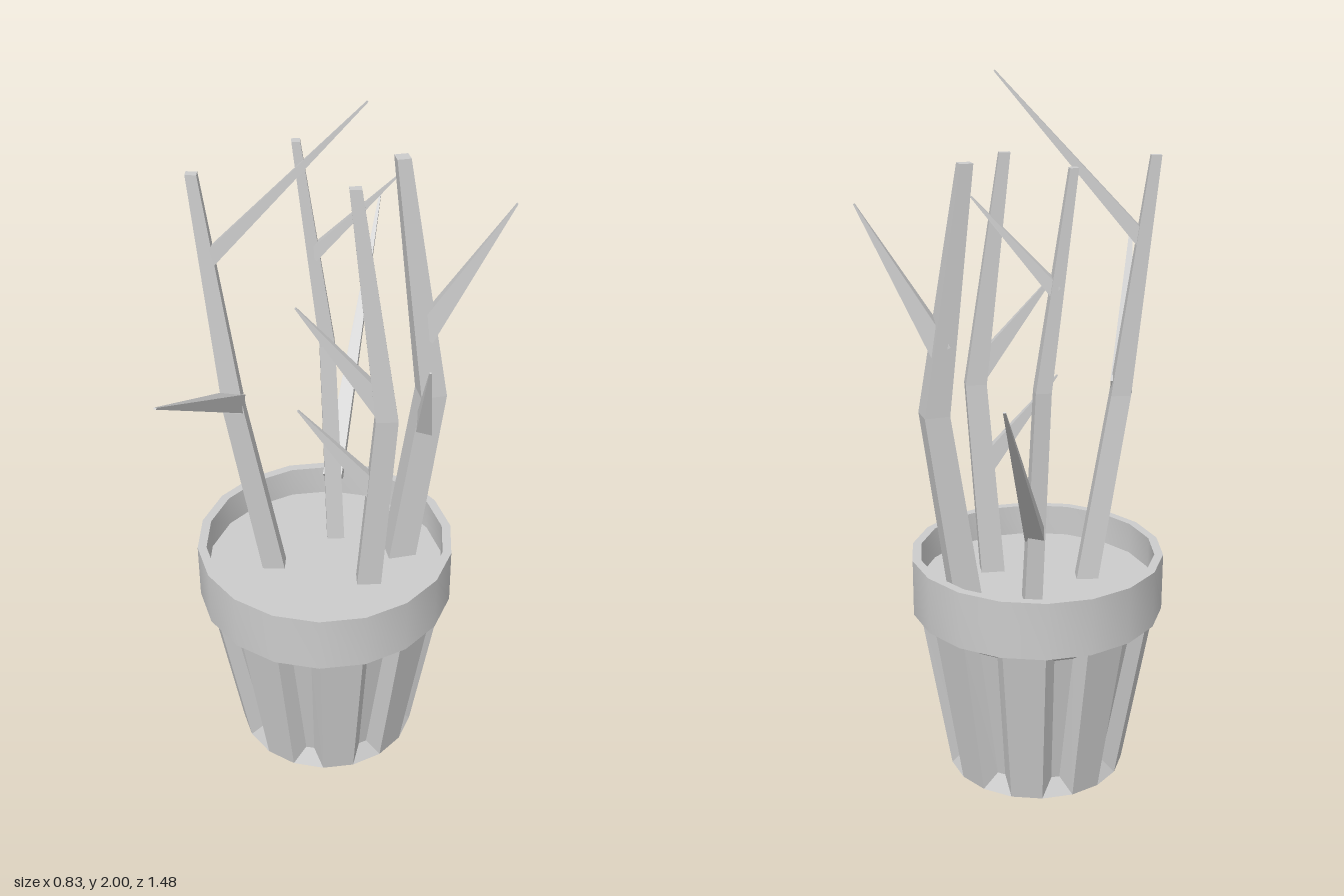
import * as THREE from 'three';
import { toCreasedNormals } from 'three/addons/utils/BufferGeometryUtils.js';

const flat = new THREE.MeshStandardMaterial({ color: 0xcccccc, flatShading: true });
const smooth = new THREE.MeshStandardMaterial({ color: 0xcccccc });
const V = (x, y, z) => new THREE.Vector3(x, y, z);
const rad = THREE.MathUtils.degToRad;
const SOIL = 0.575, ROOT = 0.56, TOP = 1.787;

// Flat-shaded mesh from a list of four-cornered faces (counter-clockwise)
function quadMesh(name, quads) {
  const pts = quads.flatMap(([a, b, c, d]) => [a, b, c, a, c, d]);
  const geo = new THREE.BufferGeometry().setFromPoints(pts);
  geo.computeVertexNormals();
  const mesh = new THREE.Mesh(geo, flat);
  mesh.name = name;
  return mesh;
}

// Side faces between two rings of four corners
const band = (lower, upper) => lower.map((p, i) => {
  const j = (i + 1) % 4;
  return [p, lower[j], upper[j], upper[i]];
});

// Faces joining a stack of four-point rings, with both ends capped
function skin(rings) {
  const sides = rings.slice(1).flatMap((upper, k) => band(rings[k], upper));
  return [...sides, rings[rings.length - 1], [...rings[0]].reverse()];
}

// Four corners around a centre; u, v and the growth direction are right-handed
const ring = (c, u, v, w, d) => [[1, 1], [-1, 1], [-1, -1], [1, -1]].map(([a, b]) =>
  c.clone().addScaledVector(u, a * w / 2).addScaledVector(v, b * d / 2));

// Stem bent once at its elbow, thinning towards a cut top
function stem({ turn, path, width, depth }) {
  const t = rad(turn);
  const u = V(Math.cos(t), 0, -Math.sin(t));
  const v = V(-Math.sin(t), 0, -Math.cos(t));
  return quadMesh('stem', skin(path.map((p) => {
    const thin = 1 - 0.55 * ((p.y - ROOT) / (TOP - ROOT)) ** 2;
    return ring(p, u, v, width * thin, depth * thin);
  })));
}

// Point on a stem's centre line at a given height
function pointAt([root, elbow, top], y) {
  const [a, b] = y < elbow.y ? [root, elbow] : [elbow, top];
  return a.clone().lerp(b, (y - a.y) / (b.y - a.y));
}

// Side twig growing from its stem and tapering to a sharp tip
function twig(from, tip, w, d) {
  const dir = tip.clone().sub(from).normalize();
  const u = V(0, 1, 0).cross(dir).normalize();
  const v = dir.clone().cross(u);
  return quadMesh('twig', skin([ring(from, u, v, w, d), ring(tip, u, v, 0.006, 0.004)]));
}

function plant(name, spec, twigs) {
  const group = new THREE.Group();
  group.name = name;
  group.add(stem(spec));
  for (const [y, tip, w, d] of twigs) group.add(twig(pointAt(spec.path, y), tip, w, d));
  return group;
}

// Tapered pot wall whose every second panel is sunk into a groove
function potBody() {
  const at = (r, y, deg) => V(r * Math.cos(rad(deg)), y, r * Math.sin(rad(deg)));
  const panel = (deg, hb, ht, rb, rt, yb, yt) =>
    [at(rb, yb, deg + hb), at(rb, yb, deg - hb), at(rt, yt, deg - ht), at(rt, yt, deg + ht)];
  const quads = [];
  for (let k = 0; k < 18; k++) {
    const deg = 10 + k * 20;
    const outer = panel(deg, 10, 10, 0.257, 0.342, 0, 0.5);
    if (k % 2) {
      quads.push(outer);
    } else {
      const inner = panel(deg, 3, 5, 0.228, 0.302, 0.05, 0.465);
      quads.push(inner, ...band(outer, inner));
    }
  }
  return quadMesh('potBody', quads);
}

// Eighteen-sided turned part with smooth sides and sharp rims
function turned(name, profile) {
  const points = profile.map(([r, y]) => new THREE.Vector2(r, y));
  const geo = new THREE.LatheGeometry(points, 18, Math.PI / 2);
  const mesh = new THREE.Mesh(toCreasedNormals(geo, 0.5), smooth);
  mesh.name = name;
  return mesh;
}

export function createModel() {
  const model = new THREE.Group();
  model.name = 'pottedPlant';

  // Pot: grooved wall, base, rim and soil
  const pot = new THREE.Group();
  pot.name = 'pot';
  pot.position.set(-0.055, 0, 0.08);
  pot.add(
    potBody(),
    turned('potBase', [[0, 0], [0.257, 0]]),
    turned('rim', [[0.3, 0.5], [0.362, 0.5], [0.362, 0.667], [0.337, 0.667], [0.337, SOIL]]),
    turned('soil', [[0.337, SOIL], [0, SOIL]]),
  );
  model.add(pot);

  // Branches: path is root, elbow, top; twigs are height on stem, tip, width, thickness
  model.add(
    plant('leftBranch', {
      turn: 10, width: 0.063, depth: 0.05,
      path: [V(-0.195, ROOT, 0.115), V(-0.28, 1.12, 0.155), V(-0.36, TOP, 0.15)],
    }, [
      [1.14, V(-0.28, 1.5, 0.737), 0.06, 0.05],
      [1.555, V(0.07, 2, 0.14), 0.025, 0.04],
    ]),
    plant('backBranch', {
      turn: 15, width: 0.05, depth: 0.055,
      path: [V(-0.055, ROOT, -0.055), V(-0.085, 1.2, -0.1), V(-0.16, TOP, -0.095)],
    }, [
      [0.77, V(-0.062, 1.35, -0.74), 0.055, 0.03],
      [1.47, V(0.1, 1.71, -0.1), 0.035, 0.035],
    ]),
    plant('rightBranch', {
      turn: 25, width: 0.08, depth: 0.075,
      path: [V(0.14, ROOT, -0.02), V(0.213, 1.11, -0.055), V(0.122, TOP, -0.052)],
    }, [
      [1.29, V(0.41, 1.68, -0.07), 0.05, 0.06],
      [0.97, V(0.23, 1.255, 0.085), 0.05, 0.045],
    ]),
    plant('frontBranch', {
      turn: 15, width: 0.068, depth: 0.046,
      path: [V(0.08, ROOT, 0.13), V(0.128, 1.14, 0.145), V(0.045, TOP, 0.15)],
    }, [
      [1.17, V(-0.1, 1.465, 0.185), 0.035, 0.06],
      [0.89, V(-0.1, 1.16, 0.185), 0.035, 0.055],
    ]),
  );
  return model;
}
